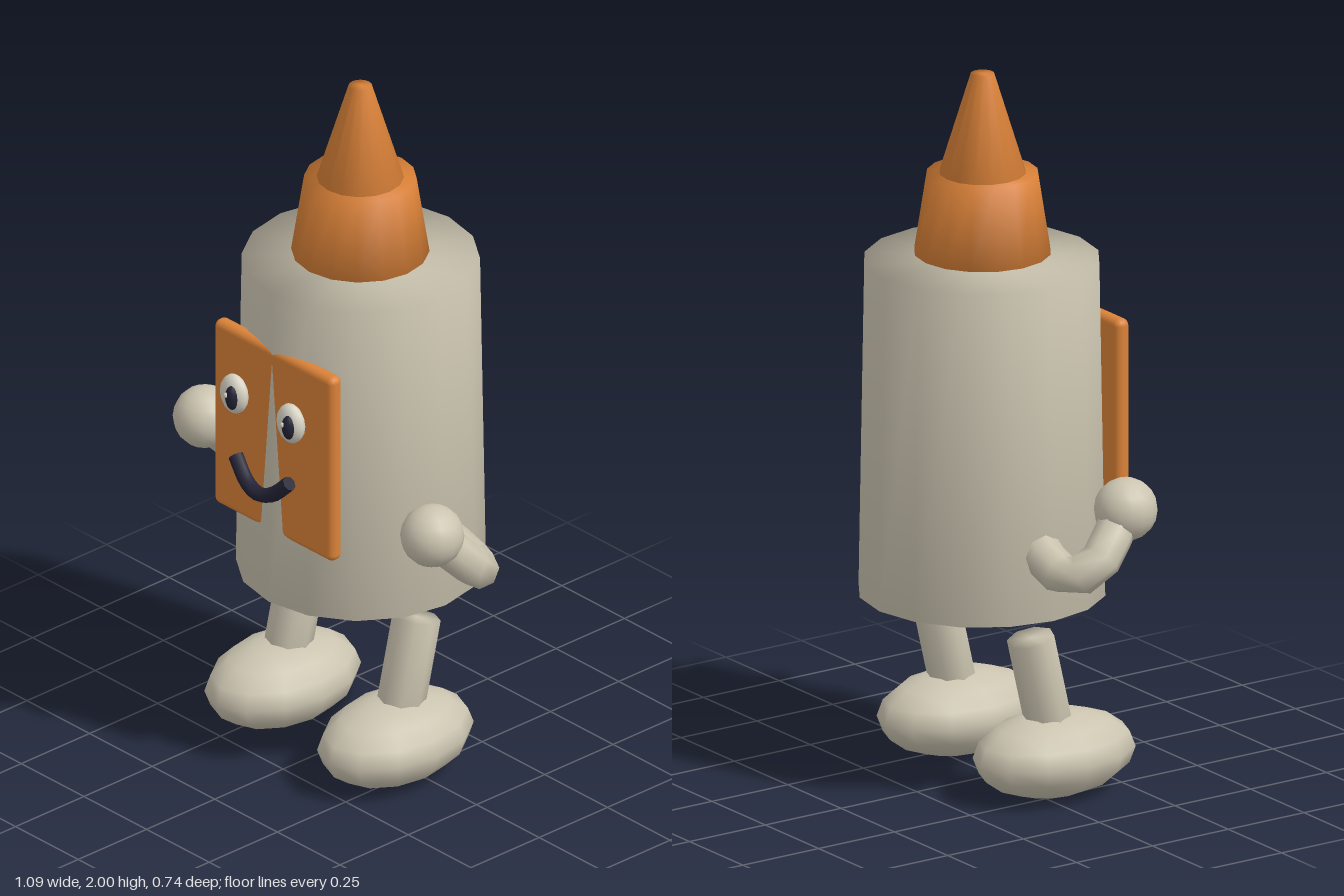
import * as THREE from 'three';
import { mergeVertices } from 'three/addons/utils/BufferGeometryUtils.js';
import { RoundedBoxGeometry } from 'three/addons/geometries/RoundedBoxGeometry.js';

const material = (name, color) => Object.assign(new THREE.MeshStandardMaterial({ color }), { name });

// Weld all corners so that shading runs smoothly over rims and caps
function weld(geometry) {
  geometry.deleteAttribute('uv');
  geometry.deleteAttribute('normal');
  const welded = mergeVertices(geometry, 1e-4);
  welded.computeVertexNormals();
  return welded;
}

// Faceted tube with closed ends along a list of points
function limb(points, radius, sides, segments) {
  const curve = new THREE.CatmullRomCurve3(points.map(p => new THREE.Vector3(...p)));
  const group = new THREE.Group();
  const tube = new THREE.TubeGeometry(curve, segments, radius, sides);
  const ends = [0, 1].map(t => {
    const cap = new THREE.CircleGeometry(radius, sides);
    const dir = curve.getTangentAt(t).multiplyScalar(t ? 1 : -1);
    cap.applyQuaternion(new THREE.Quaternion().setFromUnitVectors(new THREE.Vector3(0, 0, 1), dir));
    const p = curve.getPointAt(t);
    return cap.translate(p.x, p.y, p.z);
  });
  group.userData.geometries = [tube, ...ends];
  return group;
}

export function createModel() {
  const model = new THREE.Group();
  const beige = material('warm grey', 0xcbc4b0);
  const orange = material('orange', 0xdb8238);
  const dark = material('dark navy', 0x232336);
  const white = material('off white', 0xd8d4c6);

  function add(name, geometry, mat, x = 0, y = 0, z = 0) {
    const mesh = new THREE.Mesh(geometry, mat);
    mesh.name = name;
    mesh.position.set(x, y, z);
    model.add(mesh);
    return mesh;
  }
  const ball = (name, mat, pos, radii, w = 16, h = 10) =>
    add(name, new THREE.SphereGeometry(1, w, h), mat, ...pos).scale.set(...radii);
  const frustum = (name, mat, top, bottom, y0, y1, z) =>
    add(name, weld(new THREE.CylinderGeometry(top, bottom, y1 - y0, 16)), mat, 0, (y0 + y1) / 2, z);
  function addLimb(name, mat, points, radius, sides, segments) {
    const group = limb(points, radius, sides, segments);
    group.name = name;
    for (const g of group.userData.geometries) group.add(new THREE.Mesh(g, mat));
    group.userData = {};
    model.add(group);
  }

  // Barrel body and stepped pointed tip
  frustum('body', beige, 0.322, 0.338, 0.535, 1.475, -0.035);
  frustum('tipCollar', orange, 0.152, 0.187, 1.495, 1.72, -0.033);
  frustum('tip', orange, 0.032, 0.118, 1.72, 2.0, -0.033);

  // Face panel, sunk into the front of the body
  add('facePanel', new RoundedBoxGeometry(0.475, 0.565, 0.045, 3, 0.02), orange, 0, 1.023, 0.268);

  // Smile
  addLimb('mouth', dark, [
    [-0.107, 0.95, 0.325], [-0.05, 0.897, 0.337], [0, 0.882, 0.342],
    [0.05, 0.897, 0.337], [0.107, 0.95, 0.325],
  ], 0.021, 8, 12);

  for (const [side, s] of [['left', 1], ['right', -1]]) {
    // Eyes, both looking the same way
    const x = s * 0.113;
    ball(side + 'Eye', white, [x, 1.138, 0.325], [0.048, 0.058, 0.03], 12, 8);
    ball(side + 'Pupil', dark, [x + 0.013, 1.138, 0.345], [0.021, 0.036, 0.018], 10, 8);
    ball(side + 'EyeGlint', white, [x + 0.005, 1.148, 0.361], [0.006, 0.008, 0.006], 8, 6);

    // Bent arm and round hand
    addLimb(side + 'Arm', beige, [
      [s * 0.28, 0.74, -0.05], [s * 0.37, 0.705, -0.065], [s * 0.445, 0.69, -0.055],
      [s * 0.49, 0.73, 0.0], [s * 0.455, 0.84, 0.105],
    ], 0.056, 8, 6);
    ball(side + 'Hand', beige, [s * 0.454, 0.855, 0.12], [0.087, 0.087, 0.087]);

    // Slanted leg and egg-shaped foot
    const leg = add(side + 'Leg', weld(new THREE.CylinderGeometry(0.066, 0.066, 0.28, 8)), beige,
      s * 0.225, 0.32, -0.001);
    leg.rotation.x = -0.23;
    ball(side + 'Foot', beige, [s * 0.225, 0.122, 0.045], [0.167, 0.118, 0.243], 12, 8);
  }

  // Rest the feet on the ground
  model.children.forEach(child => { child.position.y -= child.name.endsWith('Foot') ? 0.004 : 0; });
  return model;
}
